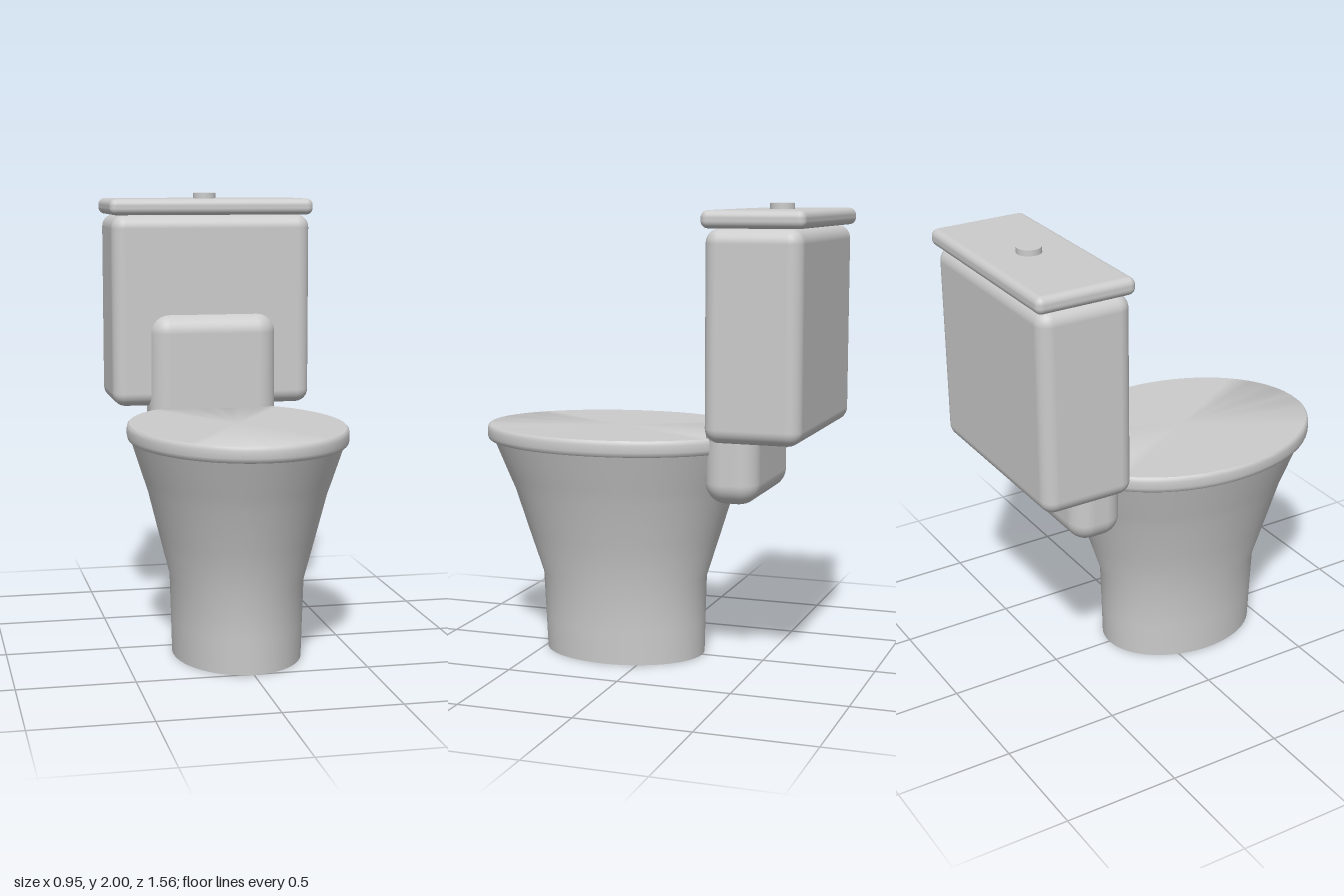
import * as THREE from 'three';
import { RoundedBoxGeometry } from 'three/addons/geometries/RoundedBoxGeometry.js';
import { toCreasedNormals } from 'three/addons/utils/BufferGeometryUtils.js';

const material = new THREE.MeshStandardMaterial({ color: 0xcccccc });
const DEPTH_RATIO = 1.3; // ovals are longer front to back

function addPart(group, name, geometry, y = 0, z = 0) {
  const mesh = new THREE.Mesh(geometry, material);
  mesh.name = name;
  mesh.position.set(0, y, z);
  group.add(mesh);
}

// Oval solid: a turned [radius, y] profile stretched along z; shift moves each height in z
function oval(profile, shift = () => 0) {
  const points = profile.map(([r, y]) => new THREE.Vector2(r, y));
  const geometry = new THREE.LatheGeometry(points, 64);
  const p = geometry.attributes.position;
  for (let i = 0; i < p.count; i++) {
    p.setZ(i, p.getZ(i) * DEPTH_RATIO + shift(p.getY(i)));
  }
  return toCreasedNormals(geometry, 0.7);
}

// Rounded block given by its y and z extents
function addBlock(group, name, width, [y0, y1], [z0, z1], radius) {
  const geometry = new RoundedBoxGeometry(width, y1 - y0, z1 - z0, 5, radius);
  addPart(group, name, geometry, (y0 + y1) / 2, (z0 + z1) / 2);
}

export function createModel() {
  const group = new THREE.Group();
  group.name = 'toilet';

  // Pedestal flaring into the bowl
  addPart(group, 'bowl', oval([
    [0, 0], [0.28, 0], [0.284, 0.15], [0.29, 0.35], [0.338, 0.54],
    [0.385, 0.73], [0.405, 0.79], [0.458, 0.955], [0, 0.955],
  ], (y) => 0.145 + 0.012 * y));

  // Closed seat lid with a softened rim
  addPart(group, 'seatLid', oval([
    [0, 0.95], [0.464, 0.95], [0.47, 0.956], [0.473, 0.97],
    [0.473, 1.0], [0.47, 1.014], [0.464, 1.02], [0, 1.02],
  ]), 0, 0.165);

  // Neck joining bowl and tank
  addBlock(group, 'tankSupport', 0.59, [0.738, 1.455], [-0.537, -0.3], 0.09);

  // Tank with its lid and flush button
  addBlock(group, 'tank', 0.924, [1.028, 1.902], [-0.766, -0.356], 0.06);
  addBlock(group, 'tankLid', 0.946, [1.902, 1.975], [-0.782, -0.346], 0.03);
  addPart(group, 'flushButton', new THREE.CylinderGeometry(0.053, 0.053, 0.05, 32), 1.975, -0.565);

  return group;
}
